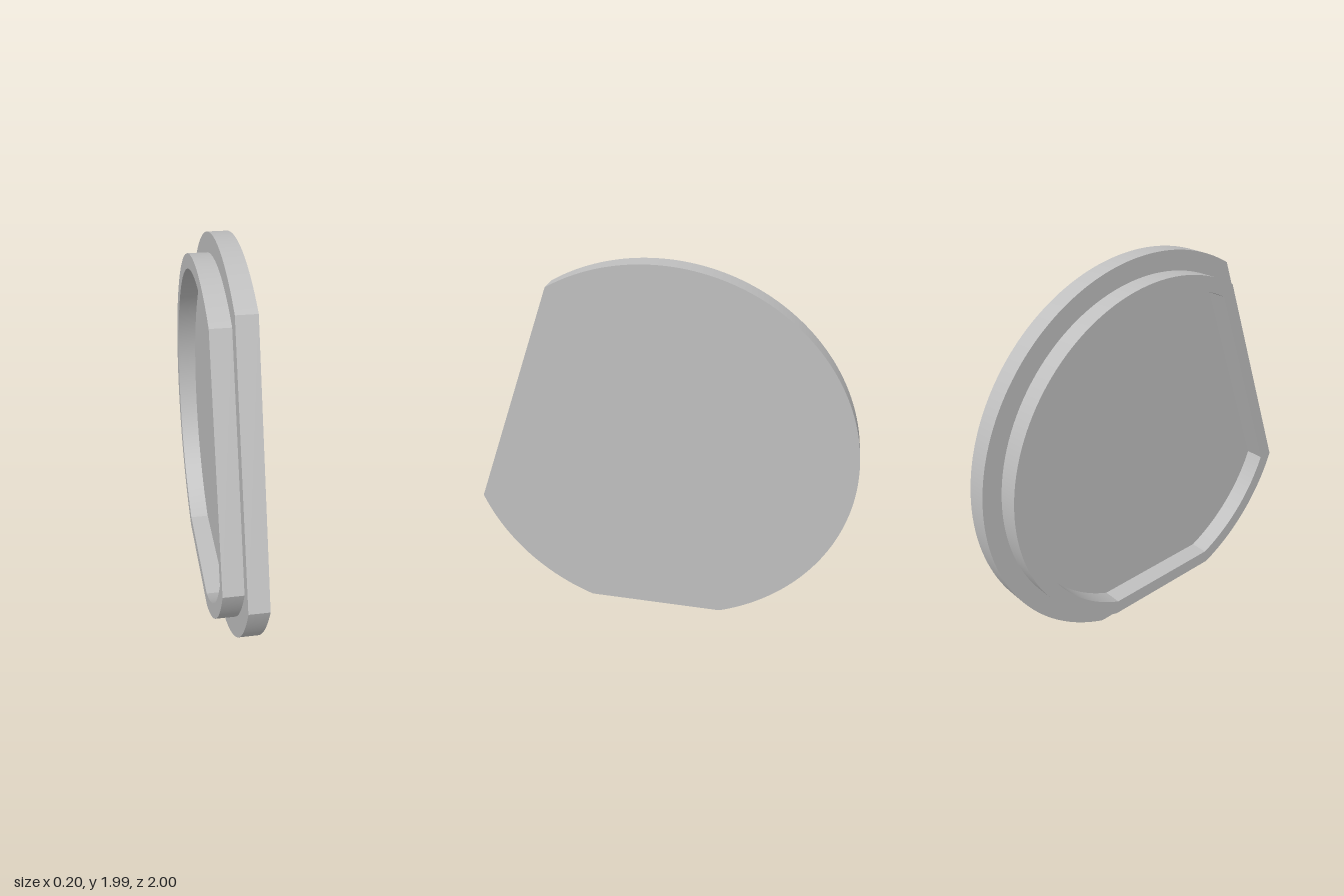
import * as THREE from 'three';
import { toCreasedNormals } from 'three/addons/utils/BufferGeometryUtils.js';

const CENTRE_U = -0.03, CENTRE_Y = 0.961; // u runs along -z
const BOTTOM = -Math.PI / 2;              // direction of the bottom flat
const SLANT = Math.PI - 0.351;            // direction of the slanted front flat

// Circle cut by two flats, each at its own distance from the centre
function cutCircle(path, radius, bottomDist, slantDist) {
  const b = Math.acos(bottomDist / radius);
  const s = Math.acos(slantDist / radius);
  path.absarc(CENTRE_U, CENTRE_Y, radius, BOTTOM + b, SLANT - s, false);
  path.absarc(CENTRE_U, CENTRE_Y, radius, SLANT + s, BOTTOM + 2 * Math.PI - b, false);
  path.closePath();
  return path;
}

// Extrude a profile along x, starting at x0
function slab(name, shape, x0, thickness, material) {
  const extruded = new THREE.ExtrudeGeometry(shape, { depth: thickness, bevelEnabled: false, curveSegments: 72 });
  extruded.rotateY(Math.PI / 2).translate(x0, 0, 0);
  const mesh = new THREE.Mesh(toCreasedNormals(extruded, 0.3), material);
  mesh.name = name;
  return mesh;
}

export function createModel() {
  const model = new THREE.Group();
  model.name = 'cover';
  const grey = new THREE.MeshStandardMaterial({ color: 0xbfbfbf });
  grey.name = 'grey';

  // Solid outer plate
  const plate = cutCircle(new THREE.Shape(), 1.03, 0.961, 0.794);
  model.add(slab('plate', plate, 0, 0.1, grey));

  // Raised rim, open in the middle down to the plate
  const wall = 0.075;
  const rim = cutCircle(new THREE.Shape(), 0.93, 0.861, 0.71);
  rim.holes.push(cutCircle(new THREE.Path(), 0.93 - wall, 0.861 - wall, 0.71 - wall));
  model.add(slab('rim', rim, -0.1, 0.1, grey));

  return model;
}
